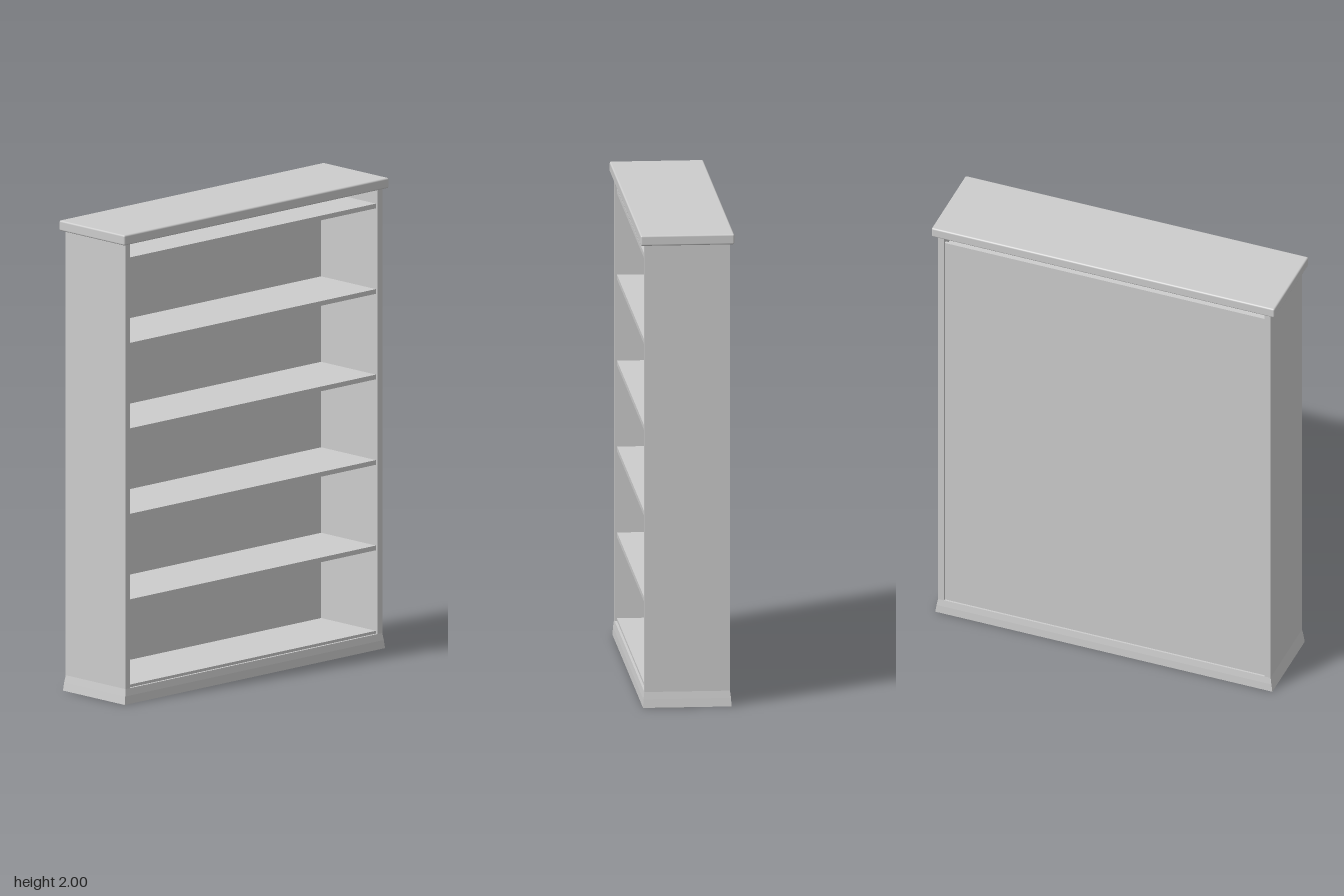
import * as THREE from 'three';
import { RoundedBoxGeometry } from 'three/addons/geometries/RoundedBoxGeometry.js';

export function createModel() {
  const group = new THREE.Group();
  group.name = 'bookcase';
  const grey = new THREE.MeshStandardMaterial({ color: 0xcccccc });
  grey.name = 'light grey';

  const add = (name, geometry, x, y, z) => {
    const mesh = new THREE.Mesh(geometry, grey);
    mesh.name = name;
    mesh.position.set(x, y, z);
    group.add(mesh);
    return mesh;
  };
  // Box given by its low and high corners
  const board = (name, [x0, y0, z0], [x1, y1, z1]) =>
    add(name, new THREE.BoxGeometry(x1 - x0, y1 - y0, z1 - z0),
      (x0 + x1) / 2, (y0 + y1) / 2, (z0 + z1) / 2);

  const innerX = 0.713, outerX = 0.74, depth = 0.178;

  // Overhanging top with softened edges
  add('topBoard', new RoundedBoxGeometry(1.526, 0.044, 0.39, 2, 0.007), 0, 1.978, 0);

  // Side panels
  board('leftSide', [innerX, 0.06, -depth], [outerX, 1.957, depth]);
  board('rightSide', [-outerX, 0.06, -depth], [-innerX, 1.957, depth]);

  // Plinth flaring out towards the floor
  const levels = [[0, 0.75, 0.184], [0.035, 0.745, 0.182], [0.065, outerX, depth]];
  const plinth = new THREE.BoxGeometry(2, 2, 2, 1, 2, 1).toNonIndexed();
  const p = plinth.attributes.position;
  for (let i = 0; i < p.count; i++) {
    const [y, x, z] = levels[Math.round(p.getY(i)) + 1];
    p.setXYZ(i, p.getX(i) * x, y, p.getZ(i) * z);
  }
  plinth.computeVertexNormals();
  add('plinth', plinth, 0, 0, 0);

  // Back panel, inset and stopping short of the top
  board('backPanel', [-innerX, 0.06, -0.17], [innerX, 1.92, -0.158]);

  // Shelves, the lowest resting on the plinth
  board('bottomShelf', [-innerX, 0.06, -0.16], [innerX, 0.077, 0.168]);
  for (let i = 1; i <= 5; i++) {
    const y = 0.066 + i * 0.3635;
    board('shelf' + i, [-innerX, y - 0.01, -0.16], [innerX, y + 0.01, 0.168]);
  }
  return group;
}
